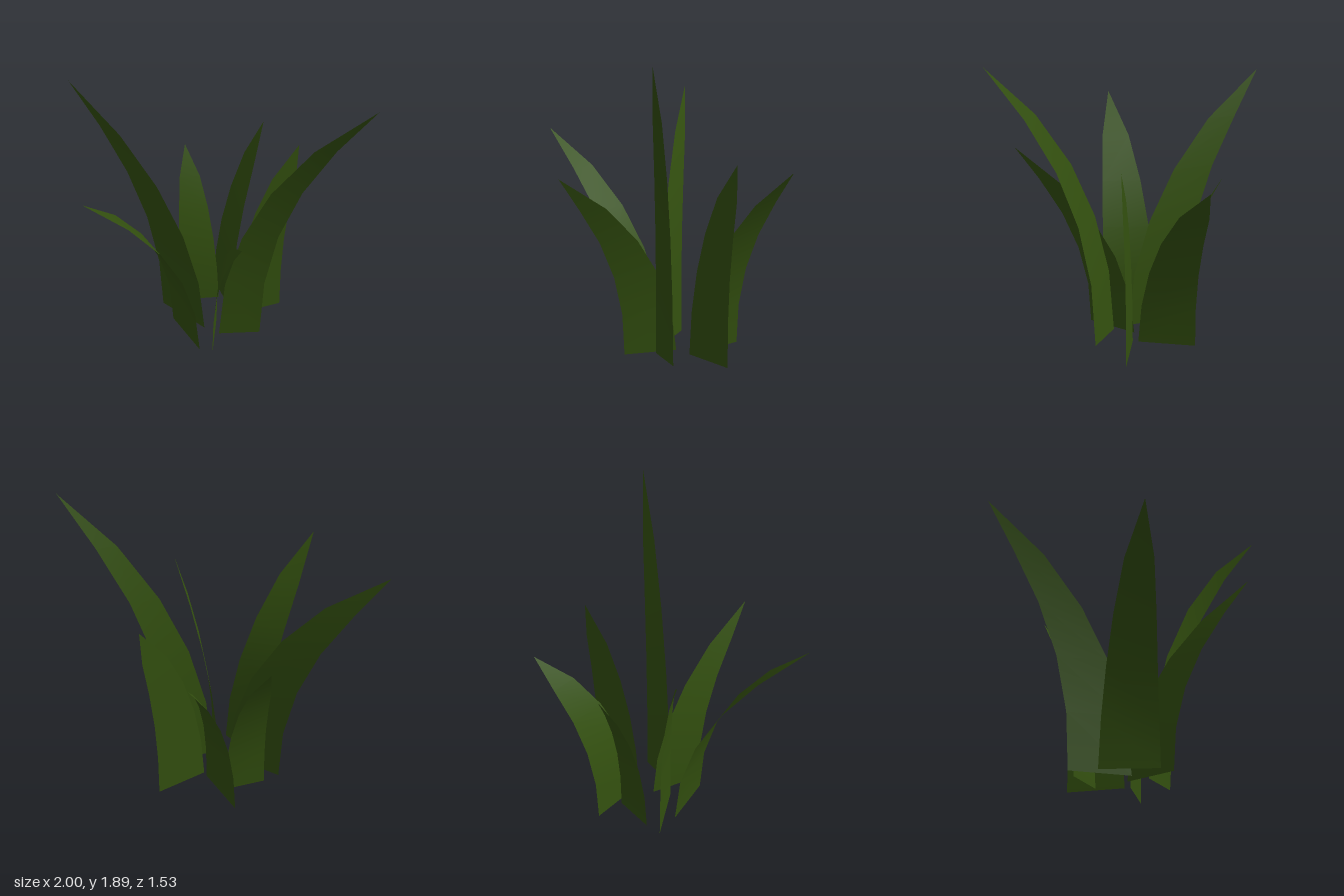
import * as THREE from 'three';

const leafGreen = new THREE.MeshStandardMaterial({ color: 0x33500f, side: THREE.DoubleSide });
leafGreen.name = 'leafGreen';

// Relative blade width at each of the six levels, root to tip
const WIDTHS = [1, 0.94, 0.84, 0.7, 0.485, 0];

// Root corners a and b as [x, z]; tip as [x, y, z]
const BLADES = [
  { a: [-0.14, -0.45], b: [0.08, -0.16], tip: [0.1, 1.16, -0.77] },
  { a: [-0.3, -0.165], b: [-0.05, -0.28], tip: [-0.345, 1.08, -0.46] },
  { a: [0.1, -0.13], b: [0.365, -0.35], tip: [0.44, 1.27, -0.39] },
  { a: [0.07, 0.08], b: [0.32, -0.02], tip: [1.0, 1.89, 0.115] },
  { a: [-0.39, -0.1], b: [-0.04, 0.055], tip: [-1.0, 1.6, -0.15] },
  { a: [0.01, -0.05], b: [0.09, 0.28], tip: [0.39, 1.18, 0.655] },
  { a: [-0.27, 0.03], b: [0, 0.27], tip: [-0.52, 1.365, 0.765] },
];

// Tapered ribbon that bends outward with the square of its length
function bladeGeometry({ a, b, tip }) {
  const cx = (a[0] + b[0]) / 2, cz = (a[1] + b[1]) / 2;
  const hx = (b[0] - a[0]) / 2, hz = (b[1] - a[1]) / 2;
  const last = WIDTHS.length - 1;
  const positions = [], index = [];
  WIDTHS.forEach((w, i) => {
    const t = i / last;
    const x = cx + (tip[0] - cx) * t * t;
    const y = tip[1] * t * (1.15 - 0.15 * t);
    const z = cz + (tip[2] - cz) * t * t;
    if (i === last) {
      positions.push(x, y, z);
      return;
    }
    positions.push(x - hx * w, y, z - hz * w, x + hx * w, y, z + hz * w);
    const k = i * 2;
    index.push(k, k + 1, k + 2);
    if (i < last - 1) index.push(k + 1, k + 3, k + 2);
  });
  const geometry = new THREE.BufferGeometry();
  geometry.setAttribute('position', new THREE.Float32BufferAttribute(positions, 3));
  geometry.setIndex(index);
  geometry.computeVertexNormals();
  return geometry;
}

export function createModel() {
  const tuft = new THREE.Group();
  tuft.name = 'grassTuft';
  BLADES.forEach((spec, i) => {
    const blade = new THREE.Mesh(bladeGeometry(spec), leafGreen);
    blade.name = `grassBlade${i + 1}`;
    tuft.add(blade);
  });
  return tuft;
}
